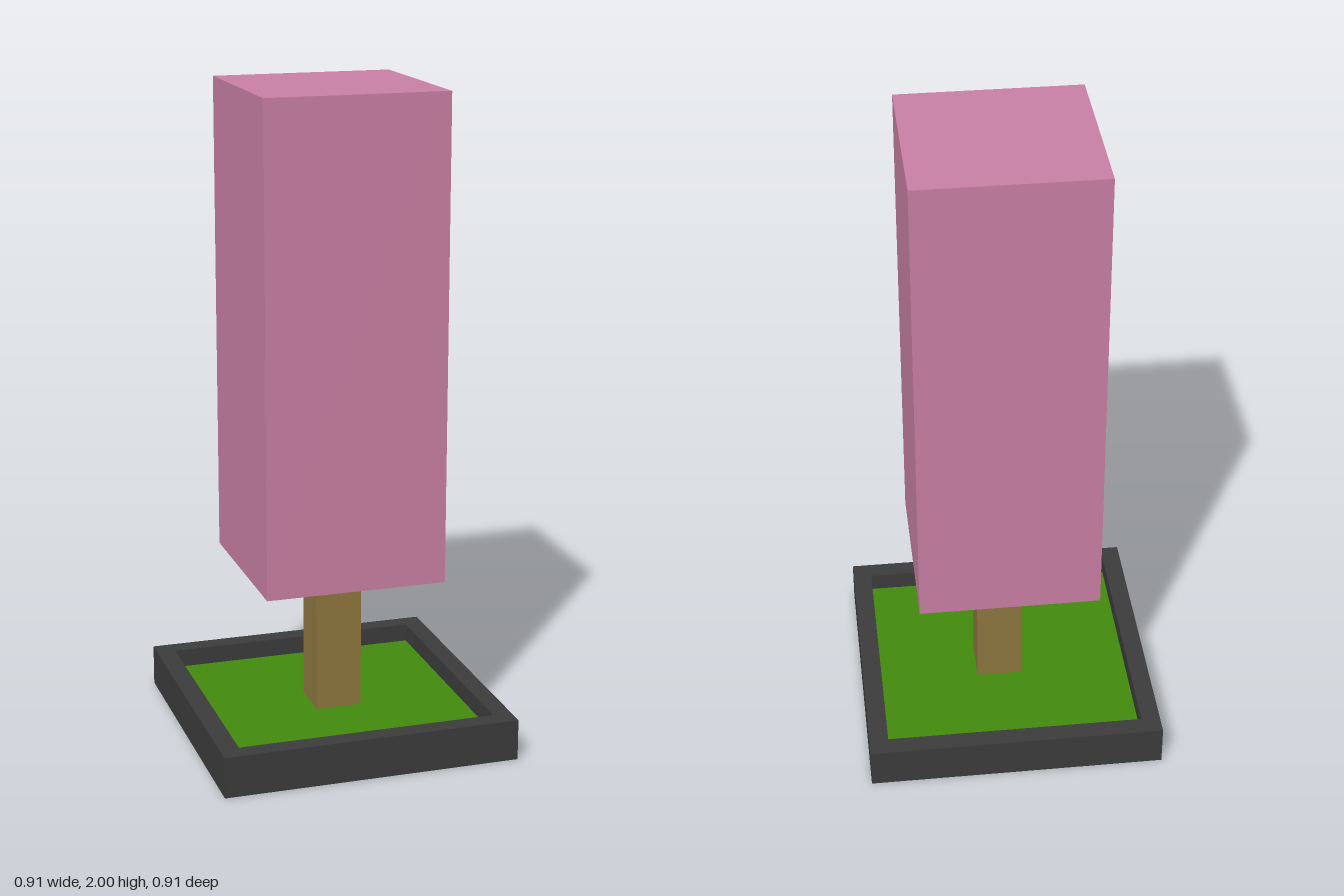
import * as THREE from 'three';

const mat = (color) => new THREE.MeshStandardMaterial({ color, flatShading: true });

// Box given by its width, its bottom and top, and its centre in x and z
function block(name, material, width, y0, y1, x = 0, z = 0) {
  const mesh = new THREE.Mesh(new THREE.BoxGeometry(width, y1 - y0, width), material);
  mesh.position.set(x, (y0 + y1) / 2, z);
  mesh.name = name;
  return mesh;
}

function square(target, half) {
  target.moveTo(-half, -half);
  target.lineTo(half, -half);
  target.lineTo(half, half);
  target.lineTo(-half, half);
  target.closePath();
  return target;
}

export function createModel() {
  const group = new THREE.Group();
  group.name = 'plantedTree';
  const dark = mat(0x3c3c3c);
  const OUTER = 0.457, INNER = 0.398, FLOOR = 0.03, GRASS = 0.07, RIM = 0.127;

  // Planter: closed bottom slab with a square raised rim
  const planter = new THREE.Group();
  planter.name = 'planter';
  planter.add(block('planterFloor', dark, OUTER * 2, 0, FLOOR));
  const outline = square(new THREE.Shape(), OUTER);
  outline.holes.push(square(new THREE.Path(), INNER));
  const rimGeometry = new THREE.ExtrudeGeometry(outline, { depth: RIM - FLOOR, bevelEnabled: false });
  rimGeometry.rotateX(-Math.PI / 2);
  const rim = new THREE.Mesh(rimGeometry, dark);
  rim.position.y = FLOOR;
  rim.name = 'planterRim';
  planter.add(rim);
  group.add(planter);

  // Grass bed, trunk slightly off centre, and tall foliage block
  group.add(block('grass', mat(0x428c0e), INNER * 2, FLOOR, GRASS));
  group.add(block('trunk', mat(0x8f7840), 0.143, GRASS, 0.525, 0.013, -0.003));
  group.add(block('foliage', mat(0xca81a5), 0.556, 0.525, 2, 0.003, 0));
  return group;
}
